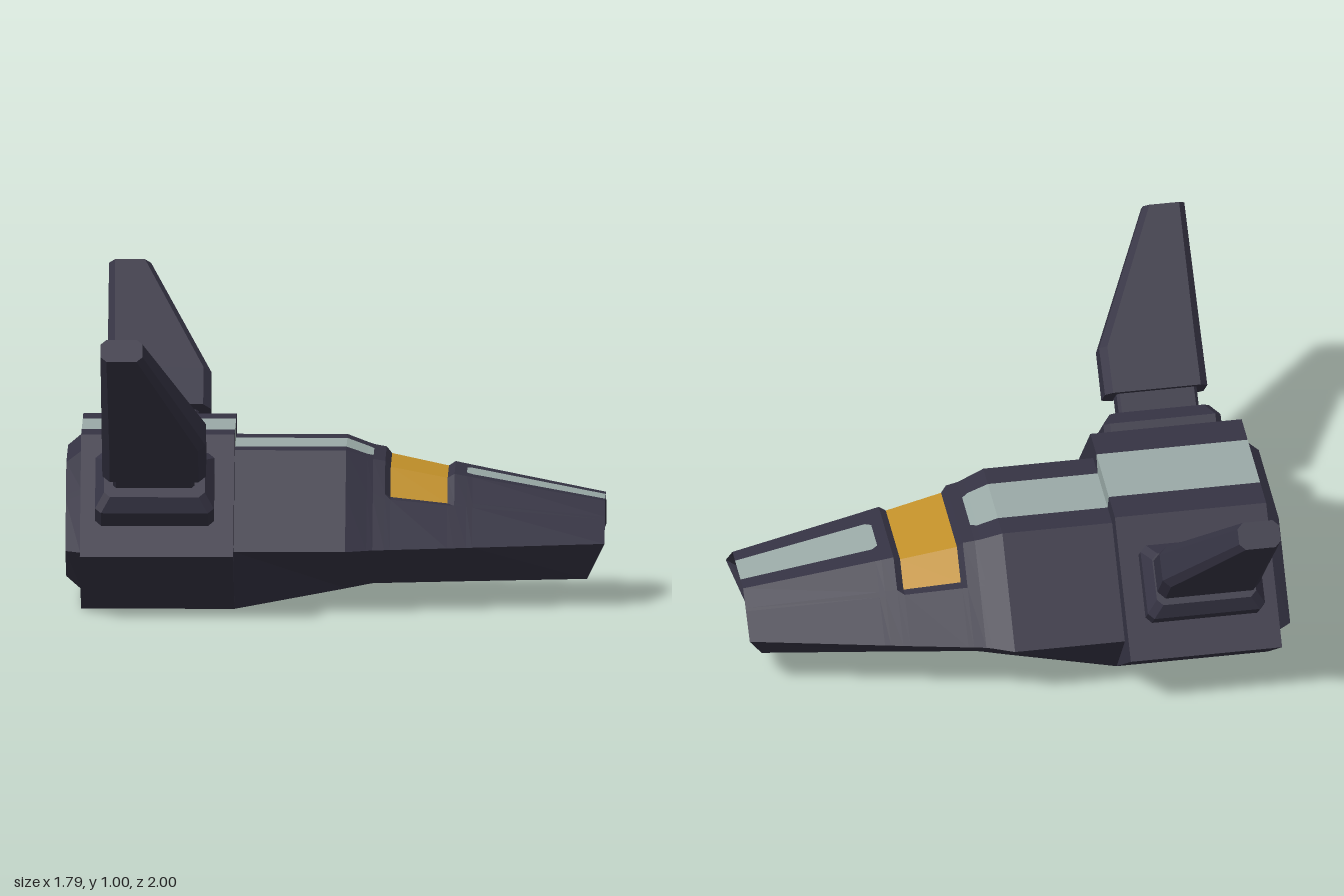
import * as THREE from 'three';

const dark = new THREE.MeshStandardMaterial({ color: 0x353343 });
const pale = new THREE.MeshStandardMaterial({ color: 0x9aaaa7 });
const amber = new THREE.MeshStandardMaterial({ color: 0xc4922a });
dark.name = 'dark hull';
pale.name = 'pale stripe';
amber.name = 'amber panel';
const MATERIALS = [dark, pale, amber];
const DARK = 0, PALE = 1, AMBER = 2;

// Flat-faced skin through rings of equal length, with a material index per face.
// Faces: segment i between rings, side j round the ring; caps use i = -1 and i = last.
function loft(name, rings, pick = () => DARK) {
  const buckets = [[], [], []];
  const quad = (m, a, b, c, d) => buckets[m].push(...a, ...b, ...c, ...a, ...c, ...d);
  const n = rings[0].length, last = rings.length - 1;
  for (let i = 0; i < last; i++) {
    for (let j = 0; j < n; j++) {
      const k = (j + 1) % n;
      quad(pick(i, j), rings[i][j], rings[i][k], rings[i + 1][k], rings[i + 1][j]);
    }
  }
  for (let j = 0; j < n / 2 - 1; j++) {
    const [r, s] = [rings[0], rings[last]];
    quad(pick(-1, j), r[j], r[n - 1 - j], r[n - 2 - j], r[j + 1]);
    quad(pick(last, j), s[j], s[j + 1], s[n - 2 - j], s[n - 1 - j]);
  }
  const geo = new THREE.BufferGeometry();
  geo.setAttribute('position', new THREE.Float32BufferAttribute(buckets.flat(), 3));
  let start = 0;
  buckets.forEach((b, m) => {
    if (b.length) geo.addGroup(start, b.length / 3, m);
    start += b.length / 3;
  });
  geo.computeVertexNormals();
  const mesh = new THREE.Mesh(geo, MATERIALS);
  mesh.name = name;
  return mesh;
}

// Six-sided hull section, with extra points for the stripes and the canopy edge
function hullRing({ x, top, tw, mw, bw, bot, s, bs, xb = x, sink = 0 }) {
  const midY = 0.215;
  const side = (f) => [x, top + (midY - top) * f, tw + (mw - tw) * f];
  const c = side(0.37);
  const half = [
    [x, top - sink, s],
    [x, top - sink, tw - sink * 0.4],
    [x, c[1] - sink * 0.6, c[2] - sink * 0.8],
    side(0.43),
    [x, midY, mw],
    [xb, bot, bw],
    [xb, bot, bs],
  ];
  return [...half, ...half.map(([a, b, z]) => [a, b, -z]).reverse()];
}

function buildHull() {
  const keys = ['x', 'top', 'tw', 'mw', 'bw', 'bot', 's', 'bs'];
  const rows = [
    // recessed engine panel and bezel
    [-0.87, 0.44, 0.175, 0.37, 0.185, 0.14, 0.09, 0.09],
    [-0.90, 0.45, 0.18, 0.385, 0.19, 0.13, 0.09, 0.09],
    [-0.90, 0.48, 0.20, 0.43, 0.215, 0.10, 0.10, 0.10],
    [-0.85, 0.52, 0.215, 0.47, 0.24, 0.06, 0.11, 0.12],
    // wide rear block
    [-0.85, 0.58, 0.245, 0.565, 0.28, 0, 0.125, 0.14],
    [-0.34, 0.58, 0.245, 0.565, 0.28, 0, 0.125, 0.14],
    // middle body
    [-0.34, 0.52, 0.19, 0.445, 0.28, 0, 0.10, 0.14],
    [0.03, 0.52, 0.19, 0.445, 0.24, 0.064, 0.10, 0.115],
    [0.10, 0.495, 0.177, 0.413, 0.232, 0.077, 0.095, 0.11],
    [0.12, 0.489, 0.172, 0.405, 0.23, 0.08, 0.08, 0.105],
    // canopy recess
    [0.16, 0.482, 0.168, 0.397, 0.223, 0.08, 0.08, 0.10],
    [0.178, 0.479, 0.166, 0.393, 0.22, 0.08, 0.08, 0.10],
    [0.367, 0.440, 0.150, 0.354, 0.19, 0.08, 0.07, 0.085],
    [0.39, 0.436, 0.148, 0.349, 0.187, 0.08, 0.07, 0.083],
    // nose
    [0.43, 0.428, 0.145, 0.340, 0.18, 0.08, 0.06, 0.08],
    [0.45, 0.424, 0.143, 0.336, 0.177, 0.08, 0.074, 0.08],
    [0.89, 0.34, 0.107, 0.24, 0.12, 0.08, 0.055, 0.055],
    [0.85, 0.31, 0.112, 0.19, 0.112, 0.14, 0.05, 0.05],
  ];
  const stations = rows.map((r) => Object.fromEntries(keys.map((k, i) => [k, r[i]])));
  stations[11].sink = stations[12].sink = 0.018;
  stations[16].xb = 0.83;
  stations[17].xb = 0.80;
  const last = rows.length - 1;
  const topStripe = (i) => (i >= 4 && i <= 8) || i >= 14;
  return loft('hull', stations.map(hullRing), (i, j) => {
    if (i === -1 || i === last) return AMBER;
    if (i === 11 && [0, 1, 11, 12, 13].includes(j)) return AMBER;
    if (j === 13 && topStripe(i)) return PALE;
    if (j === 6 && i >= 2) return PALE;
    return DARK;
  });
}

// Chamfered block along the 45 degree fin axis; sections are [u, x0, x1, half thickness, chamfer]
function finPart(name, side, sections) {
  const rings = sections.map(([u, x0, x1, h, c]) => {
    const ring = [
      [x0 + c, -h], [x1 - c, -h], [x1, c - h], [x1, h - c],
      [x1 - c, h], [x0 + c, h], [x0, h - c], [x0, c - h],
    ].map(([x, v]) => [x, (u + v) * Math.SQRT1_2, side * (u - v) * Math.SQRT1_2]);
    return side > 0 ? ring : ring.reverse();
  });
  return loft(name, rings);
}

function buildFin(side) {
  const fin = new THREE.Group();
  fin.name = side > 0 ? 'frontSideFin' : 'backSideFin';
  fin.add(
    finPart('finMount', side, [
      [0.50, -0.80, -0.405, 0.125, 0.02],
      [0.63, -0.80, -0.405, 0.125, 0.02],
      [0.67, -0.77, -0.435, 0.088, 0.02],
    ]),
    finPart('finNeck', side, [
      [0.65, -0.74, -0.47, 0.05, 0.01],
      [0.76, -0.74, -0.47, 0.05, 0.01],
    ]),
    finPart('finBlade', side, [
      [0.74, -0.775, -0.43, 0.078, 0.025],
      [0.90, -0.775, -0.43, 0.069, 0.025],
      [1.365, -0.775, -0.635, 0.046, 0.02],
    ]),
  );
  return fin;
}

export function createModel() {
  const model = new THREE.Group();
  model.name = 'winged shuttle';
  model.add(buildHull(), buildFin(1), buildFin(-1));
  return model;
}
